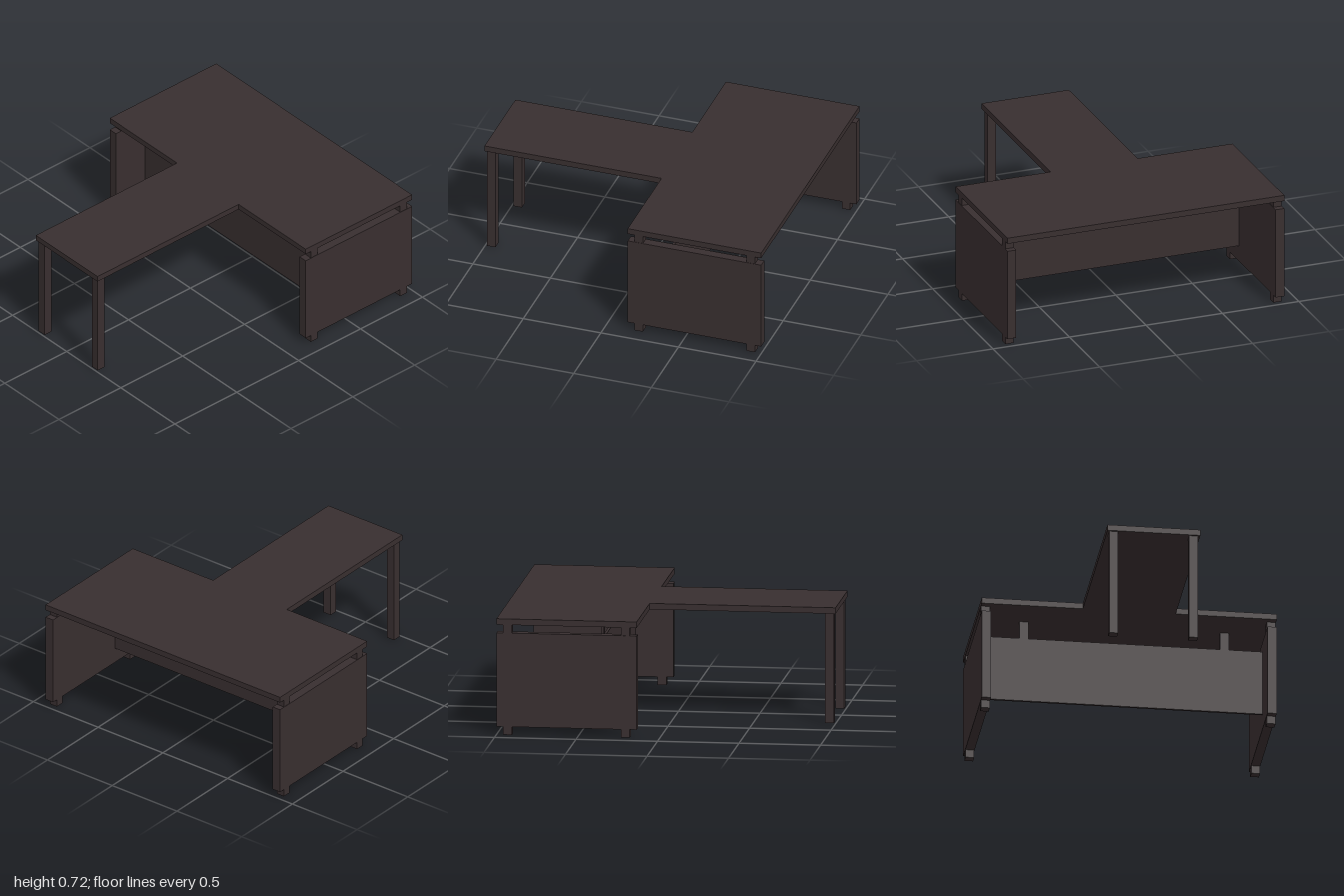
import * as THREE from 'three';

export function createModel() {
  const desk = new THREE.Group();
  desk.name = 'desk';
  const darkWood = new THREE.MeshStandardMaterial({ color: 0x382e2f });
  darkWood.name = 'darkWood';

  // Box given by its extents along each axis
  function slab(name, [x0, x1], [y0, y1], [z0, z1]) {
    const mesh = new THREE.Mesh(new THREE.BoxGeometry(x1 - x0, y1 - y0, z1 - z0), darkWood);
    mesh.position.set((x0 + x1) / 2, (y0 + y1) / 2, (z0 + z1) / 2);
    mesh.name = name;
    desk.add(mesh);
  }
  // z extent mirrored to the front (+1) or back (-1)
  const mirror = (side, a, b) => (side > 0 ? [a, b] : [-b, -a]);

  // Work surfaces
  slab('mainTop', [0.14, 1], [0.68, 0.717], [-0.905, 0.905]);
  slab('returnTop', [-1, 0.14], [0.68, 0.717], [-0.285, 0.285]);

  // Modesty panel between the end panels
  slab('modestyPanel', [0.374, 0.39], [0.15, 0.568], [-0.848, 0.848]);

  for (const side of [1, -1]) {
    const endZ = mirror(side, 0.848, 0.905);
    slab('endPanel', [0.14, 1], [0.05, 0.63], endZ);

    // Feet below and spacers above each end panel
    for (const x of [0.183, 0.905]) {
      const blockZ = mirror(side, 0.85, 0.903);
      slab('foot', [x, x + 0.054], [0, 0.05], blockZ);
      slab('spacer', [x, x + 0.054], [0.63, 0.68], blockZ);
    }

    slab('modestyHanger', [0.374, 0.39], [0.568, 0.68], mirror(side, 0.588, 0.643));
    slab('returnLeg', [-0.988, -0.934], [0, 0.68], mirror(side, 0.218, 0.272));
  }
  return desk;
}
